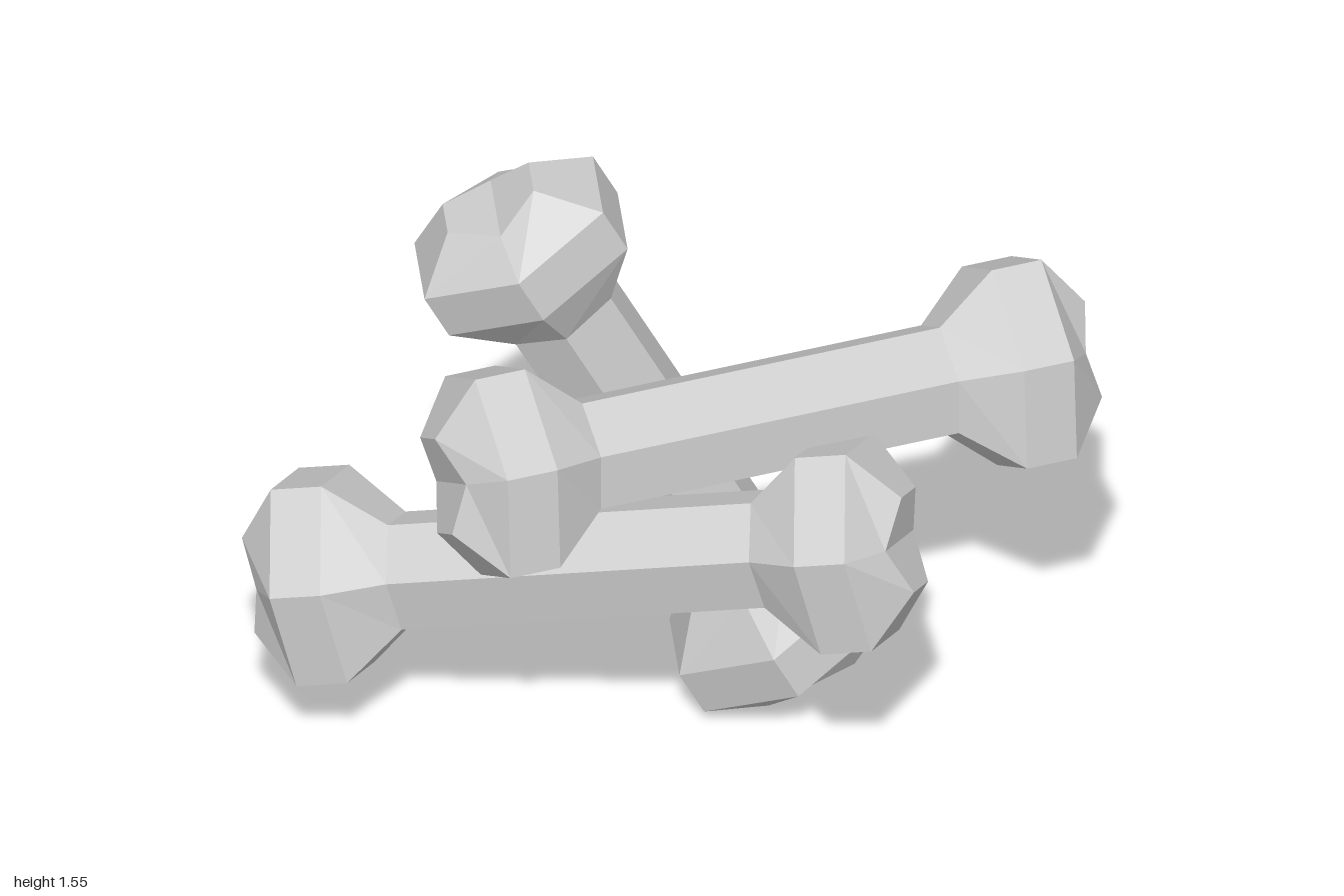
import * as THREE from 'three';

// Hexagon corners as fractions of the half width (x) and half depth (z)
const HEX = [[0, 1], [1, 0.5], [1, -0.5], [0, -1], [-1, -0.5], [-1, 0.5]];

// Cross-sections of one half: distance along the bone, half width, half depth, notch depth
const HALF = [
  [0.449, 0.126, 0.138, 0],   // end of the shaft
  [0.586, 0.237, 0.22, 0],    // start of the knuckle
  [0.711, 0.237, 0.22, 0],    // end of the knuckle
  [0.816, 0.114, 0.11, 0.038] // cap, dipping in the middle
];

function boneGeometry() {
  const mirrored = HALF.map(([y, w, d, n]) => [-y, w, d, -n]).reverse();
  const rings = [...mirrored, ...HALF];
  const positions = [];
  const index = [];
  for (const [y, w, d, notch] of rings) {
    for (const [x, z] of HEX) positions.push(x * w, x === 0 ? y - notch : y, z * d);
  }
  // Side faces between neighbouring cross-sections
  for (let r = 0; r < rings.length - 1; r++) {
    for (let k = 0; k < 6; k++) {
      const a = r * 6 + k, b = r * 6 + (k + 1) % 6;
      index.push(a, b, b + 6, a, b + 6, a + 6);
    }
  }
  // Each cap is two flaps folded along the notch
  const top = (rings.length - 1) * 6;
  for (const [a, b, c, d] of [[0, 1, 2, 3], [3, 4, 5, 0]]) {
    index.push(top + a, top + b, top + c, top + a, top + c, top + d);
    index.push(a, c, b, a, d, c);
  }
  const geometry = new THREE.BufferGeometry();
  geometry.setAttribute('position', new THREE.Float32BufferAttribute(positions, 3));
  geometry.setIndex(index);
  const flat = geometry.toNonIndexed();
  flat.computeVertexNormals();
  return flat;
}

// Placement: centre, direction of the shaft, direction across the two lobes
const BONES = [
  { name: 'uprightBone', centre: [-0.06, 0.777, -0.19], along: [0.463, -0.887, 0], across: [0.887, 0.463, 0] },
  { name: 'upperBone', centre: [0.185, 0.945, -0.005], along: [0.965, -0.025, -0.26], across: [-0.121, 0.85, -0.53] },
  { name: 'lowerBone', centre: [-0.23, 0.565, 0], along: [0.916, 0.238, 0.321], across: [-0.08, 0.895, -0.43] }
];

export function createModel() {
  const model = new THREE.Group();
  model.name = 'bonePile';
  const geometry = boneGeometry();
  const material = new THREE.MeshStandardMaterial({ color: 0xcccccc, flatShading: true });
  for (const { name, centre, along, across } of BONES) {
    const y = new THREE.Vector3(...along).normalize();
    const z = new THREE.Vector3(...across).cross(y).normalize();
    const x = new THREE.Vector3().crossVectors(y, z);
    const bone = new THREE.Mesh(geometry, material);
    bone.name = name;
    bone.quaternion.setFromRotationMatrix(new THREE.Matrix4().makeBasis(x, y, z));
    bone.position.set(...centre);
    model.add(bone);
  }
  return model;
}
